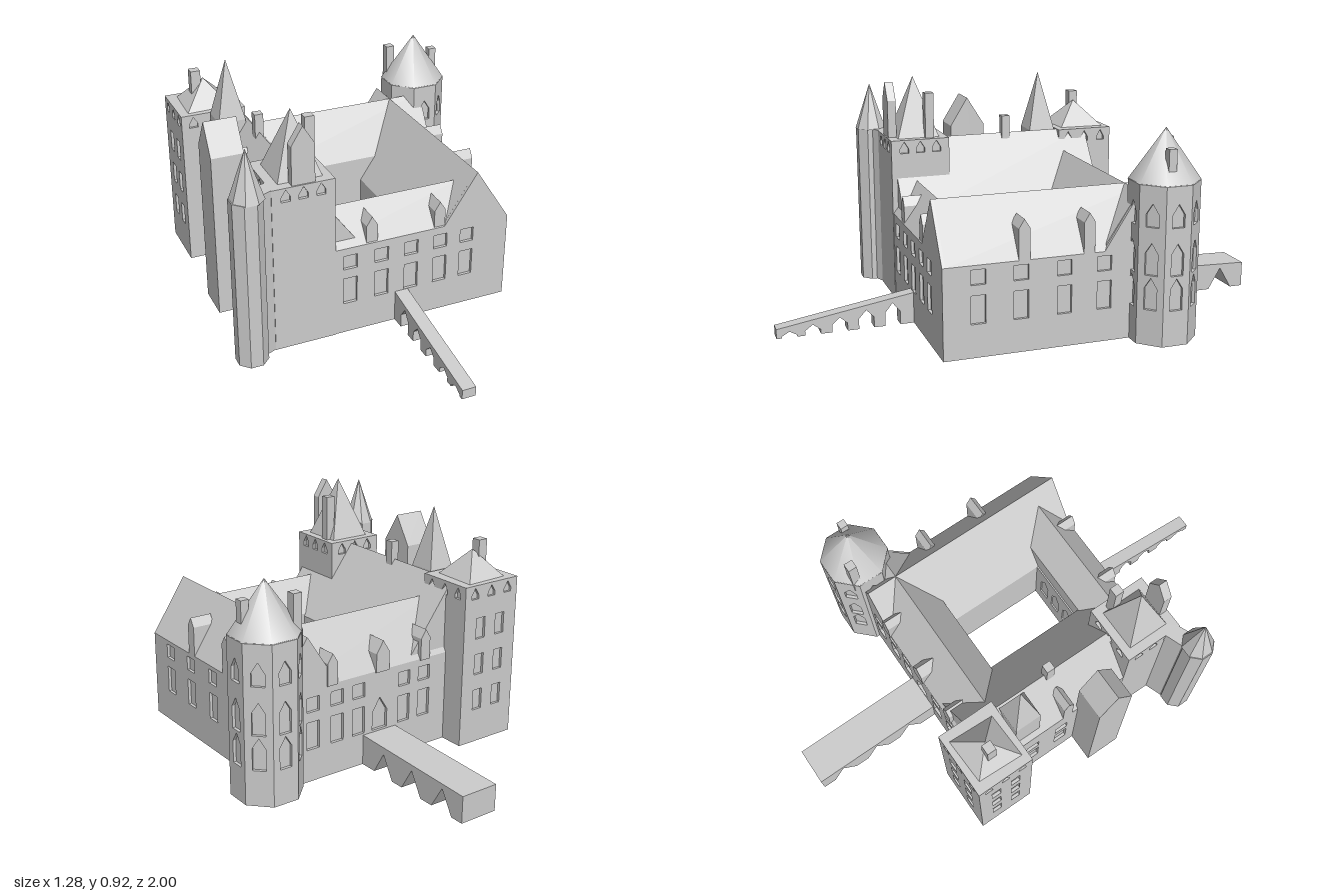
import * as THREE from 'three';

const D = 0.012; // depth of the window recesses
const stone = new THREE.MeshStandardMaterial({ color: 0xcccccc, flatShading: true });
const smooth = new THREE.MeshStandardMaterial({ color: 0xcccccc });

const toPts = (list) => list.map(([x, y]) => new THREE.Vector2(x, y));

function add(parent, name, geometry, x = 0, y = 0, z = 0, ry = 0, material = stone) {
  const mesh = new THREE.Mesh(geometry, material);
  mesh.name = name;
  mesh.position.set(x, y, z);
  mesh.rotation.y = ry;
  parent.add(mesh);
  return mesh;
}

// Outline with optional holes, extruded along +z
function extrude(outline, depth, holes = []) {
  const shape = new THREE.Shape(toPts(outline));
  for (const h of holes) shape.holes.push(new THREE.Path(toPts(h)));
  return new THREE.ExtrudeGeometry(shape, { depth, bevelEnabled: false });
}

const rect = (c, w, y0, y1) => [[c - w / 2, y0], [c + w / 2, y0], [c + w / 2, y1], [c - w / 2, y1]];
const pointed = (c, w, y0, y1, tip = w * 0.8) => [
  [c - w / 2, y0], [c + w / 2, y0], [c + w / 2, y1 - tip], [c, y1], [c - w / 2, y1 - tip]];

const box = (parent, name, x, z, w, d, y0, y1) =>
  add(parent, name, new THREE.BoxGeometry(w, y1 - y0, d), x, (y0 + y1) / 2, z);

// Regular spire with its flat sides square to the axes
function spire(parent, name, n, apothem, x, z, y0, y1, material = stone) {
  const r = apothem / Math.cos(Math.PI / n);
  return add(parent, name, new THREE.ConeGeometry(r, y1 - y0, n), x, (y0 + y1) / 2, z, Math.PI / n, material);
}

// Regular tower: solid core with one pierced wall panel per side
function tower(parent, name, n, apothem, x, z, height, holesFor) {
  const g = new THREE.Group();
  g.name = name;
  g.position.set(x, 0, z);
  const inner = apothem - D;
  const core = new THREE.CylinderGeometry(inner / Math.cos(Math.PI / n), inner / Math.cos(Math.PI / n), height, n);
  add(g, name + 'Core', core, 0, height / 2, 0, Math.PI / n);
  const w = 2 * apothem * Math.tan(Math.PI / n);
  for (let i = 0; i < n; i++) {
    const a = (i * 2 * Math.PI) / n;
    add(g, name + 'Wall', extrude(rect(0, w, 0, height), D, holesFor(i)),
      Math.sin(a) * inner, 0, Math.cos(a) * inner, a);
  }
  parent.add(g);
  return g;
}

// Gabled dormer: its front at (x, z) faces the direction ry and it runs back by depth
function dormer(parent, x, z, ry, w, y0, y1, depth, name = 'dormer') {
  const geo = extrude(pointed(0, w, y0, y1), depth);
  geo.translate(0, 0, -depth);
  add(parent, name, geo, x, 0, z, ry);
}

// Two rows of rectangular windows
const windowRows = (centres) => centres.flatMap((c) => [
  rect(c, 0.057, 0.13, 0.24), rect(c, 0.057, 0.28, 0.338)]);

// Bridge seen from the side, with arches [centre, half width, spring, top]
function bridge(parent, name, xMin, xMax, z0, y0, z1, y1, arches) {
  const outline = [[z0, 0]];
  for (const [c, w, spring, top] of arches) {
    outline.push([c - w, 0]);
    if (spring > 0) outline.push([c - w, spring]);
    outline.push([c, top]);
    if (spring > 0) outline.push([c + w, spring]);
    outline.push([c + w, 0]);
  }
  outline.push([z1, 0], [z1, y1], [z0, y0]);
  add(parent, name, extrude(outline, xMax - xMin), xMax, 0, 0, -Math.PI / 2);
}

export function createModel() {
  const model = new THREE.Group();
  model.name = 'castle';
  const Q = Math.PI / 2;

  // Wings around the courtyard, each one cross-section swept along its ridge
  const alongX = (name, profile, x0, x1) => add(model, name, extrude(profile, x1 - x0), x1, 0, 0, -Q);
  const alongZ = (name, profile, z0, z1) => add(model, name, extrude(profile, z1 - z0), 0, 0, z0);
  alongX('frontWing', [[0.26, 0], [0.46 - D, 0], [0.46 - D, 0.37], [0.46, 0.37], [0.36, 0.505], [0.26, 0.37]], -0.36, 0.34);
  alongX('backWing', [[-0.18, 0], [-0.18, 0.38], [-0.31, 0.575], [-0.44, 0.37], [-0.44 + D, 0.37], [-0.44 + D, 0]], -0.36, 0.5 - D);
  alongZ('rightWing', [[0.16, 0], [0.5 - D, 0], [0.5 - D, 0.355], [0.5, 0.355], [0.355, 0.575], [0.16, 0.28]], -0.44 + D, 0.46 - D);
  alongZ('leftWing', [[-0.48 + D, 0], [-0.12, 0], [-0.12, 0.36], [-0.34, 0.66], [-0.48, 0.45], [-0.48 + D, 0.45]], -0.44 + D, 0.44);

  // Outer wall faces with gables and windows
  add(model, 'frontWall', extrude(
    [[-0.24, 0], [0.5, 0], [0.5, 0.355], [0.355, 0.575], [0.22, 0.37], [-0.24, 0.37]], D,
    [...windowRows([-0.175, -0.045, 0.08, 0.205, 0.32]), rect(0.042, 0.055, 0.04, 0.128)]), 0, 0, 0.46 - D);
  add(model, 'rightWall', extrude(
    [[-0.46, 0], [0.44, 0], [0.44, 0.37], [0.31, 0.575], [0.17, 0.355], [-0.46, 0.355]], D,
    windowRows([-0.325, -0.16, 0.01, 0.17])), 0.5 - D, 0, 0, Q);
  add(model, 'backWall', extrude(
    [[-0.5, 0], [0.32, 0], [0.32, 0.37], [-0.22, 0.37], [-0.355, 0.575], [-0.5, 0.355]], D,
    [...windowRows([-0.33, -0.22, -0.12, 0.1, 0.2]), pointed(-0.018, 0.07, 0.13, 0.26)]), 0, 0, -0.44 + D, Math.PI);
  add(model, 'leftWall', extrude(rect(-0.04, 0.54, 0, 0.45), D,
    windowRows([-0.22, -0.08, 0.185])), -0.48 + D, 0, 0, -Q);

  // Courtyard wall faces with pointed windows
  const courtWindows = (cs) => cs.map((c) => pointed(c, 0.05, 0.08, 0.22));
  add(model, 'courtyardWall', extrude(rect(-0.04, 0.44, 0, 0.28), 0.006, courtWindows([-0.19, -0.09, 0.01, 0.11])), -0.12, 0, 0, Q);
  add(model, 'courtyardWall', extrude(rect(-0.02, 0.28, 0, 0.28), 0.006, courtWindows([-0.1, -0.02, 0.06])), 0, 0, 0.26, Math.PI);

  // Keep at the front with its pyramid roof, tall gable and chimney
  const parapet = (s, y0, y1) => [-s, 0, s].map((c) => pointed(c, 0.036, y0, y1));
  tower(model, 'keep', 4, 0.1225, -0.358, 0.34, 0.675, () => parapet(0.068, 0.62, 0.668));
  spire(model, 'keepRoof', 4, 0.088, -0.356, 0.338, 0.672, 0.92);
  dormer(model, -0.356, 0.457, 0, 0.09, 0.66, 0.9, 0.035, 'keepGable');
  box(model, 'chimney', -0.272, 0.295, 0.038, 0.036, 0.65, 0.862);

  // Slim corner turret tied to the keep
  tower(model, 'turret', 8, 0.058, -0.58, 0.475, 0.675, () => []);
  spire(model, 'turretRoof', 8, 0.06, -0.575, 0.475, 0.672, 0.865);
  const link = extrude([[-0.55, -0.42], [-0.47, -0.39], [-0.47, -0.455], [-0.55, -0.49]], 0.675);
  link.rotateX(-Q);
  add(model, 'turretLink', link);

  // Square tower at the back
  const backTower = tower(model, 'backTower', 4, 0.135, -0.445, -0.42, 0.66, (i) => [
    ...parapet(0.085, 0.605, 0.65),
    ...(i > 1 ? [-0.05, 0.05].flatMap((c) => [0.14, 0.29, 0.44].map((y) => rect(c, 0.045, y, y + 0.085))) : [])]);
  backTower.scale.z = 0.89;
  spire(model, 'backTowerRoof', 4, 0.1, -0.447, -0.42, 0.657, 0.765).scale.z = 0.92;
  box(model, 'chimney', -0.48, -0.425, 0.04, 0.038, 0.65, 0.803);

  // Round-roofed eight-sided tower at the back corner
  tower(model, 'octagonTower', 8, 0.126, 0.51, -0.402, 0.62, () => [
    pointed(0, 0.05, 0.14, 0.265), pointed(0, 0.05, 0.275, 0.4), pointed(0, 0.05, 0.46, 0.55)]);
  spire(model, 'octagonTowerRoof', 8, 0.127, 0.51, -0.402, 0.618, 0.815, smooth);
  box(model, 'chimney', 0.418, -0.455, 0.036, 0.036, 0.56, 0.762);
  box(model, 'chimney', 0.59, -0.386, 0.032, 0.032, 0.6, 0.75);

  // Tall gabled bay and small spired stair tower on the left
  dormer(model, -0.598, 0.068, -Q, 0.15, 0, 0.797, 0.13, 'leftBay');
  box(model, 'stairTower', -0.405, -0.235, 0.112, 0.112, 0.3, 0.66);
  spire(model, 'stairTowerRoof', 4, 0.056, -0.405, -0.235, 0.66, 0.905);
  box(model, 'chimney', -0.34, -0.06, 0.035, 0.035, 0.55, 0.735);

  // Dormers on the roofs
  for (const x of [-0.085, 0.2]) dormer(model, x, 0.457, 0, 0.046, 0.365, 0.48, 0.08);
  for (const z of [0.148, -0.108]) dormer(model, 0.5, z, Q, 0.044, 0.35, 0.51, 0.09);
  for (const [x, w] of [[0.01, 0.062], [0.245, 0.045], [-0.2, 0.045]])
    dormer(model, x, -0.445, Math.PI, w, 0.365, 0.49, 0.085);
  dormer(model, -0.48, -0.055, -Q, 0.045, 0.44, 0.6, 0.09);

  // Narrow sloping bridge at the front, wide bridge at the back
  bridge(model, 'frontBridge', 0.015, 0.07, 0.45, 0.127, 1, 0.038,
    [0.545, 0.65, 0.755, 0.86, 0.95].map((c, i) => [c, 0.03, 0.055 - i * 0.012, 0.092 - i * 0.017]));
  bridge(model, 'backBridge', -0.06, 0.097, -1, 0.105, -0.43, 0.122,
    [-0.893, -0.727, -0.565].map((c) => [c, 0.053, 0, 0.09]));

  return model;
}
